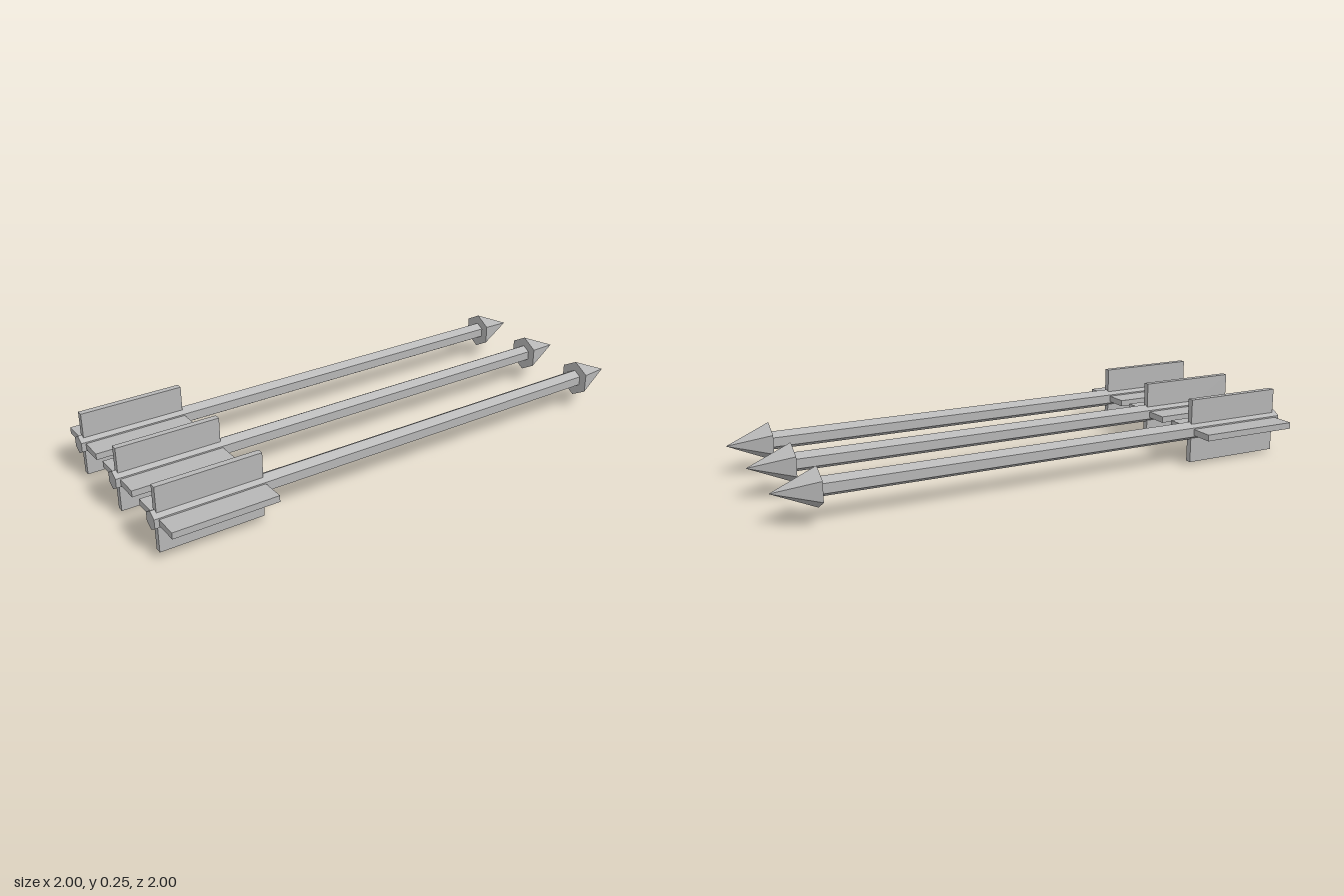
import * as THREE from 'three';

export function createModel() {
  const model = new THREE.Group();
  model.name = 'arrows';
  const grey = new THREE.MeshStandardMaterial({ color: 0xb6b6b6 });
  grey.name = 'grey';
  grey.flatShading = true;

  const HEAD = 0.165, LENGTH = 2.1;

  // Six-sided bar or cone lying along x, with an edge facing straight up
  const hexAlongX = (rTip, rTail, length) =>
    new THREE.CylinderGeometry(rTip, rTail, length, 6, 1, false, Math.PI / 2)
      .rotateZ(-Math.PI / 2);

  const shaftGeo = hexAlongX(0.036, 0.036, LENGTH - HEAD);
  const headGeo = hexAlongX(0, 0.074, HEAD);
  const uprightGeo = new THREE.BoxGeometry(0.405, 0.254, 0.025);
  const flatGeo = new THREE.BoxGeometry(0.405, 0.025, 0.25);

  const add = (arrow, name, geo, x) => {
    const mesh = new THREE.Mesh(geo, grey);
    mesh.name = name;
    mesh.position.x = x;
    arrow.add(mesh);
  };

  // Three parallel arrows; each origin is at the arrow's tip
  for (let i = 0; i < 3; i++) {
    const arrow = new THREE.Group();
    arrow.name = 'arrow' + (i + 1);
    add(arrow, 'shaft', shaftGeo, -(LENGTH + HEAD) / 2);
    add(arrow, 'head', headGeo, -HEAD / 2);
    add(arrow, 'uprightVane', uprightGeo, -1.88);
    add(arrow, 'flatVane', flatGeo, -1.88);
    arrow.rotation.y = Math.PI / 4;
    arrow.position.set(0.557 + 0.22 * i, 0.127, -1 + 0.22 * i);
    model.add(arrow);
  }
  return model;
}
